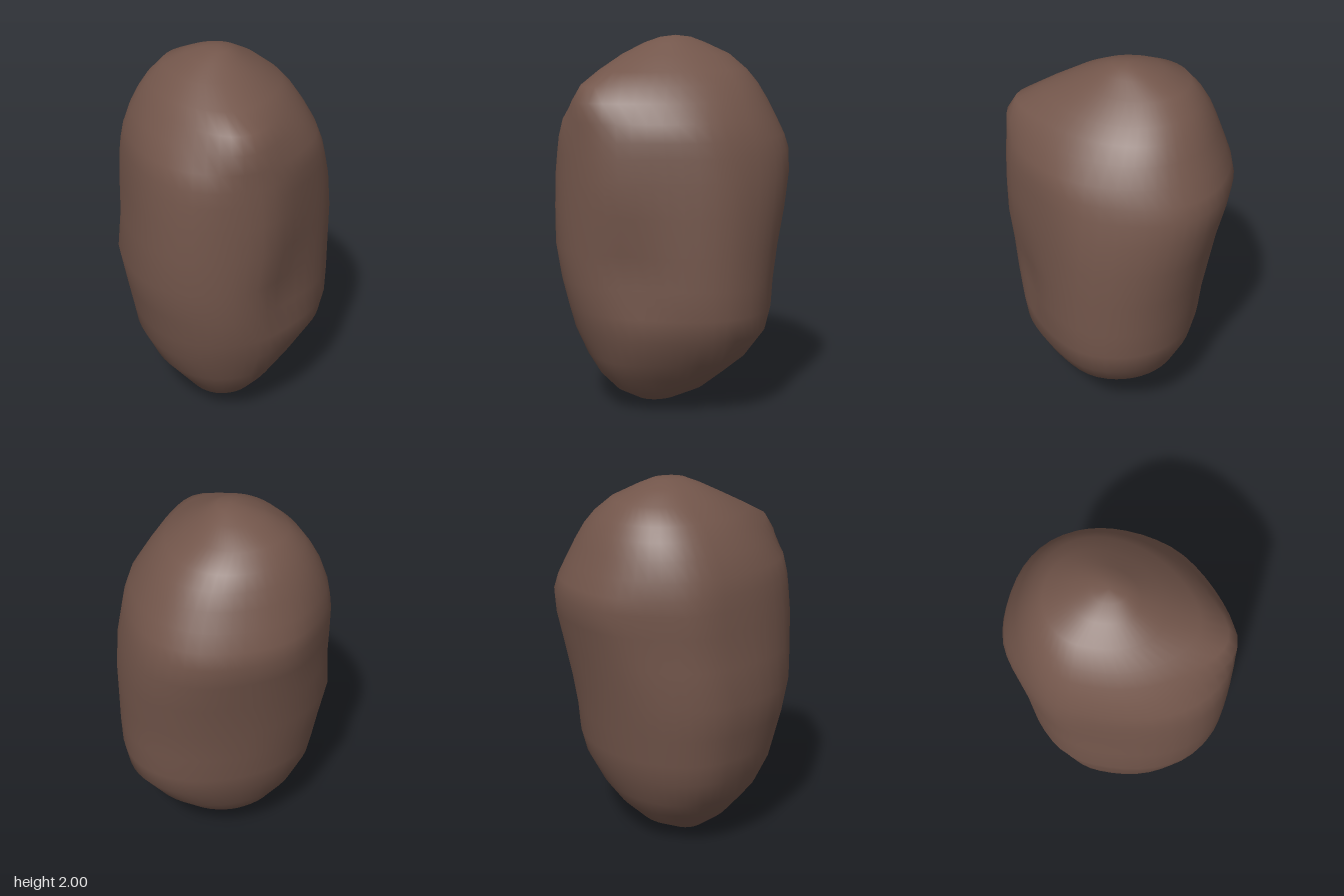
import * as THREE from 'three';

// Ring extents from top to bottom: y, xMin, xMax, zMin, zMax
const RINGS = [
  [1.99, -0.1, 0.04, -0.13, 0.04],
  [1.96, -0.19, 0.1, -0.22, 0.11],
  [1.9, -0.3, 0.2, -0.36, 0.22],
  [1.82, -0.385, 0.31, -0.43, 0.33],
  [1.75, -0.435, 0.375, -0.475, 0.405],
  [1.67, -0.48, 0.43, -0.51, 0.47],
  [1.57, -0.52, 0.485, -0.55, 0.566],
  [1.48, -0.535, 0.52, -0.585, 0.597],
  [1.4, -0.543, 0.54, -0.602, 0.602],
  [1.28, -0.55, 0.562, -0.58, 0.604],
  [1.1, -0.557, 0.575, -0.535, 0.605],
  [0.9, -0.58, 0.57, -0.5, 0.6],
  [0.72, -0.547, 0.566, -0.467, 0.59],
  [0.57, -0.517, 0.56, -0.45, 0.56],
  [0.45, -0.495, 0.535, -0.42, 0.525],
  [0.3, -0.42, 0.42, -0.355, 0.46],
  [0.2, -0.33, 0.3, -0.29, 0.41],
  [0.1, -0.25, 0.18, -0.19, 0.31],
  [0.03, -0.16, 0.04, -0.05, 0.18],
  [0.008, -0.12, -0.04, 0.03, 0.11],
];
const SEGMENTS = 48;

const bell = (d, r) => Math.exp(-(d * d) / (r * r));

function softMin(a, b, k) {
  const h = Math.max(k - Math.abs(a - b), 0) / k;
  return Math.min(a, b) - (h * h * k) / 4;
}

// Roundness exponent of each corner: fuller at mid height on two corners
function fullness(c, s, y) {
  if (s > 0) return c < 0 ? 2.25 + 0.35 * bell(y - 1.2, 0.3) : 2;
  return c > 0 ? 2 + 0.25 * bell(y - 1.3, 0.35) : 2.15;
}

function ringPoint([y, x0, x1, z0, z1], angle) {
  const c = Math.cos(angle), s = Math.sin(angle);
  const cx = (x0 + x1) / 2 - 0.05 * (x1 - x0);
  const cz = (z0 + z1) / 2 - 0.07 * (z1 - z0);
  const n = fullness(c, s, y);
  const k = Math.pow(Math.pow(Math.abs(c), n) + Math.pow(Math.abs(s), n), -1 / n);
  let x = cx + c * k * (c > 0 ? x1 - cx : cx - x0);
  let z = cz + s * k * (s > 0 ? z1 - cz : cz - z0);

  // back leans to the left, brow bulges at the upper front
  if (s < 0) x += 0.06 * s * s * (x1 - x0);
  else z += 0.15 * s * bell(y - 1.72, 0.12) * bell(x + 0.05, 0.24);

  // broad flat on the front left tucking under at the base,
  // gentler flat on the back right
  const sum = x + z;
  const limit = 0.73 - 0.85 * Math.max(0, 0.5 - y);
  let shift = softMin(sum, limit, 0.12) - sum;
  shift -= softMin(-sum, 0.83 - 0.02 * bell(y - 1.2, 0.2), 0.1) + sum;
  x += shift / 2;
  z += shift / 2;

  // hollow low on the flat
  const dent = 0.06 * bell(Math.hypot(x - 0.16, (y - 0.77) * 0.8, z - 0.48), 0.2);
  return [x - dent * 0.6, y, z - dent * 0.8];
}

function stoneGeometry() {
  const pos = [], index = [];
  for (const ring of RINGS)
    for (let i = 0; i < SEGMENTS; i++)
      pos.push(...ringPoint(ring, (i / SEGMENTS) * Math.PI * 2));
  const top = pos.length / 3, bottom = top + 1;
  pos.push(-0.03, 2, -0.045, -0.08, 0, 0.07);

  const last = (RINGS.length - 1) * SEGMENTS;
  for (let i = 0; i < SEGMENTS; i++) {
    const j = (i + 1) % SEGMENTS;
    index.push(top, j, i);
    for (let r = 0; r < last; r += SEGMENTS) {
      const d = r + SEGMENTS;
      index.push(r + i, r + j, d + i, r + j, d + j, d + i);
    }
    index.push(last + i, last + j, bottom);
  }
  const geometry = new THREE.BufferGeometry();
  geometry.setAttribute('position', new THREE.Float32BufferAttribute(pos, 3));
  geometry.setIndex(index);
  geometry.computeVertexNormals();
  return geometry;
}

export function createModel() {
  const group = new THREE.Group();
  group.name = 'rock';
  const brown = new THREE.MeshStandardMaterial({ color: 0x73564b });
  brown.name = 'earthy brown';
  const stone = new THREE.Mesh(stoneGeometry(), brown);
  stone.name = 'stone';
  group.add(stone);
  return group;
}
